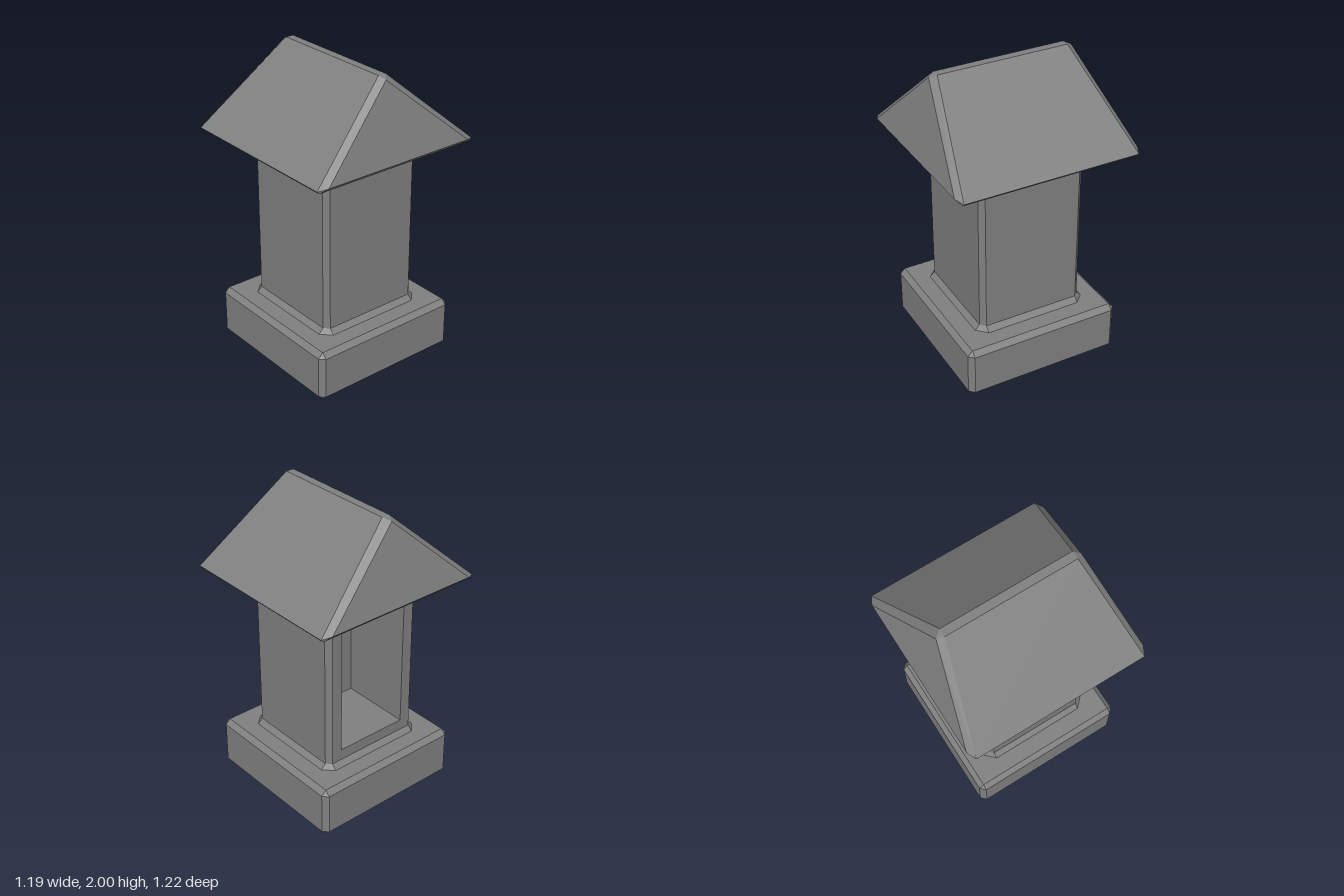
import * as THREE from 'three';
import { ConvexGeometry } from 'three/addons/geometries/ConvexGeometry.js';

const V = (x, y, z) => new THREE.Vector3(x, y, z);

// Square loop with half-width h whose corners are cut back to c (c = h gives a plain square)
function loop(h, c, y) {
  const pts = [[c, h], [h, c], [h, -c], [c, -h], [-c, -h], [-h, -c], [-h, c], [-c, h]];
  return pts.map(([x, z]) => V(x, y, z));
}

// Flat-shaded geometry from a list of four-cornered faces (counter-clockwise from outside)
function quads(faces) {
  const pts = faces.flatMap(([a, b, c, d]) => [a, b, c, a, c, d]);
  const geo = new THREE.BufferGeometry().setFromPoints(pts);
  geo.computeVertexNormals();
  return geo;
}

export function createModel() {
  const group = new THREE.Group();
  const stone = new THREE.MeshStandardMaterial({ color: 0x808080 });
  stone.name = 'stone grey';

  const add = (name, geometry) => {
    const mesh = new THREE.Mesh(geometry, stone);
    mesh.name = name;
    group.add(mesh);
  };

  // Bevelled block at the foot
  add('base', new ConvexGeometry([
    ...loop(0.497, 0.497, 0), ...loop(0.53, 0.497, 0.033),
    ...loop(0.53, 0.497, 0.31), ...loop(0.497, 0.497, 0.343),
  ]));

  // Hollow post with chamfered corners, flaring where it meets base and roof
  const levels = [
    loop(0.39, 0.325, 0.342), loop(0.357, 0.325, 0.376),
    loop(0.357, 0.325, 1.44), loop(0.39, 0.325, 1.476),
  ];
  const backSide = 3;
  const faces = [];
  for (let l = 0; l < 3; l++) {
    for (let i = 0; i < 8; i++) {
      if (l === 1 && i === backSide) continue; // replaced by the niche frame
      const j = (i + 1) % 8;
      faces.push([levels[l][i], levels[l][j], levels[l + 1][j], levels[l + 1][i]]);
    }
  }
  add('post', quads(faces));

  // Back wall with a rectangular opening
  const rect = (path, w, y0, y1) =>
    path.moveTo(-w, y0).lineTo(w, y0).lineTo(w, y1).lineTo(-w, y1).closePath();
  const wall = rect(new THREE.Shape(), 0.325, 0.376, 1.44);
  wall.holes.push(rect(new THREE.Path(), 0.25, 0.45, 1.365));
  add('nicheFrame', new THREE.ShapeGeometry(wall).rotateY(Math.PI).translate(0, 0, -0.357));

  // Niche interior: a box turned inside out, without its back (-z) face
  const box = new THREE.BoxGeometry(0.5, 0.915, 0.487);
  box.setIndex(Array.from(box.index.array).slice(0, 30).reverse());
  box.clearGroups();
  const niche = box.toNonIndexed();
  niche.computeVertexNormals();
  add('niche', niche.translate(0, 0.9075, -0.1135));

  // Gabled roof with leaning ends and bevelled edges
  const roof = [];
  for (const x of [-1, 1]) {
    for (const z of [-1, 1]) {
      roof.push(
        V(x * 0.585, 1.475, z * 0.585),
        V(x * 0.597, 1.49, z * 0.582),
        V(x * 0.537, 1.502, z * 0.611),
      );
    }
  }
  for (const [ridgeZ, gableZ] of [[0.445, 0.485], [-0.425, -0.47]]) {
    roof.push(V(-0.042, 2, ridgeZ), V(0.013, 2, ridgeZ), V(-0.02, 1.98, gableZ));
  }
  add('roof', new ConvexGeometry(roof));

  return group;
}
